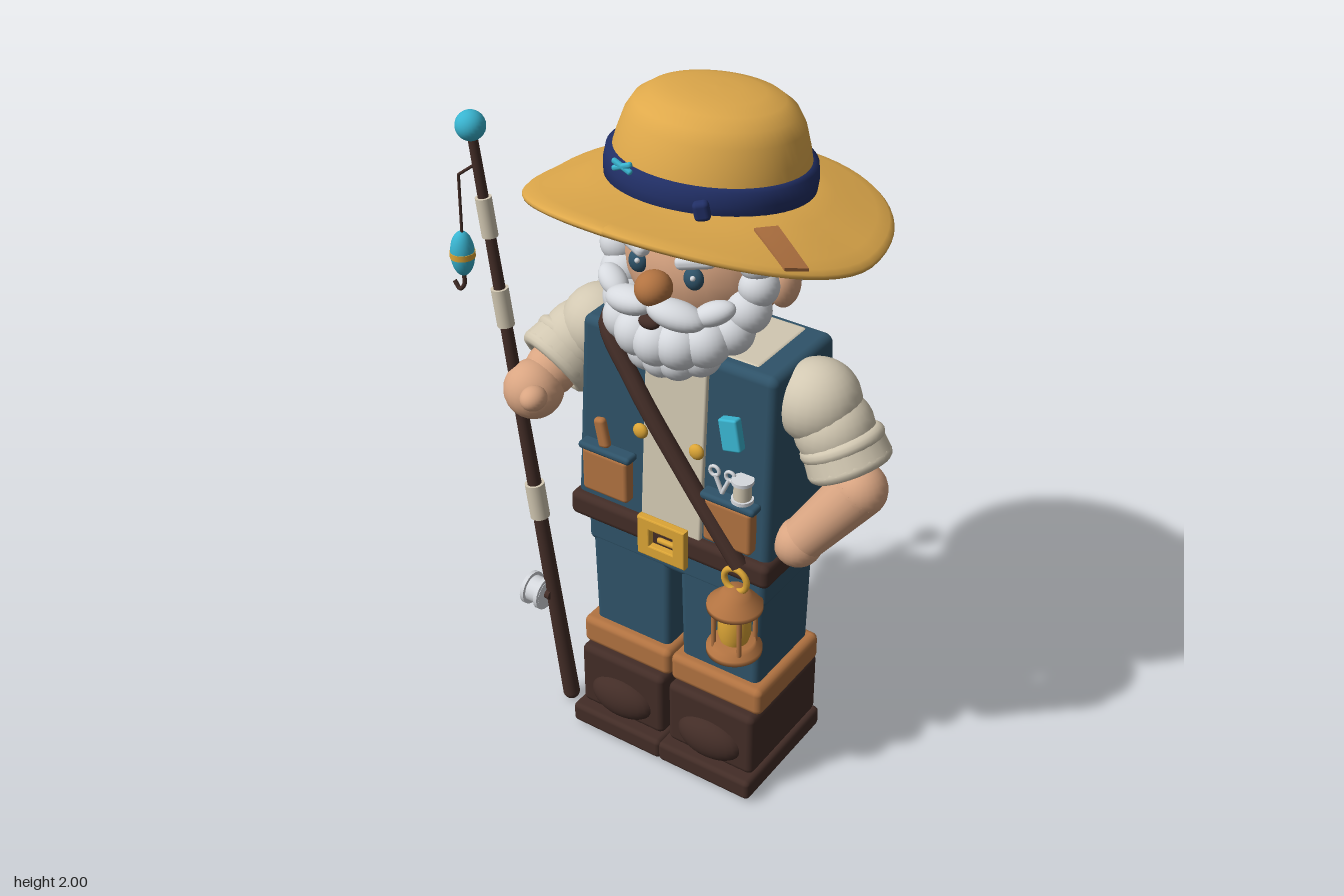
import * as THREE from 'three';
import { RoundedBoxGeometry } from 'three/addons/geometries/RoundedBoxGeometry.js';

const V = (x, y, z) => new THREE.Vector3(x, y, z);

export function createModel() {
  const mat = (name, color) => Object.assign(new THREE.MeshStandardMaterial({ color }), { name });
  const straw = mat('straw', 0xdfa94b), navy = mat('navy', 0x212f66), denim = mat('denim', 0x2f5369);
  const cream = mat('cream', 0xd2c8b2), bark = mat('dark brown', 0x432d27), leather = mat('leather', 0xb27341);
  const skin = mat('skin', 0xd9a582), white = mat('white', 0xd6d9de), gold = mat('gold', 0xdca536), cyan = mat('cyan', 0x39b4d0);

  const root = new THREE.Group();
  root.name = 'fisherman';
  const figure = new THREE.Group();
  figure.name = 'figure';
  figure.position.x = 0.055;
  root.add(figure);

  // Helpers
  const add = (name, geo, m, p = [0, 0, 0], rot = [0, 0, 0], parent = figure) => {
    const mesh = new THREE.Mesh(geo, m);
    mesh.name = name;
    mesh.position.set(...p);
    mesh.rotation.set(...rot);
    parent.add(mesh);
    return mesh;
  };
  const ball = (name, m, p, r, rot, parent) => {
    const mesh = add(name, new THREE.SphereGeometry(1, 24, 16), m, p, rot, parent);
    mesh.scale.set(...(Array.isArray(r) ? r : [r, r, r]));
    return mesh;
  };
  const box = (name, m, p, s, rot, r = 0.012, parent) =>
    add(name, new RoundedBoxGeometry(...s, 2, Math.min(r, Math.min(...s) * 0.45)), m, p, rot, parent);
  // Rounded box whose top is scaled by kx, kz
  const taper = (name, m, p, s, kx, kz, r = 0.02) => {
    const g = new RoundedBoxGeometry(...s, 3, r), a = g.attributes.position;
    for (let i = 0; i < a.count; i++) {
      const t = a.getY(i) / s[1] + 0.5;
      a.setX(i, a.getX(i) * (1 + (kx - 1) * t));
      a.setZ(i, a.getZ(i) * (1 + (kz - 1) * t));
    }
    return add(name, g, m, p);
  };
  // Round bar from a to b
  const bar = (name, m, a, b, ra, rb = ra, parent = figure) => {
    const d = b.clone().sub(a);
    const mesh = add(name, new THREE.CylinderGeometry(rb, ra, d.length(), 20), m, a.clone().add(b).multiplyScalar(0.5).toArray(), [0, 0, 0], parent);
    mesh.quaternion.setFromUnitVectors(V(0, 1, 0), d.normalize());
    return mesh;
  };
  const tube = (name, m, pts, r, parent) =>
    add(name, new THREE.TubeGeometry(new THREE.CatmullRomCurve3(pts), 32, r, 10), m, [0, 0, 0], [0, 0, 0], parent);
  const lathe = pts => new THREE.LatheGeometry(pts.map(([x, y]) => new THREE.Vector2(x, y)), 64);

  // Legs and boots
  box('hips', denim, [0, 0.7, 0.012], [0.58, 0.13, 0.285], undefined, 0.02);
  for (const s of [-1, 1]) {
    taper('leg', denim, [s * 0.147, 0.52, 0.015], [0.25, 0.4, 0.27], 1.06, 1.03);
    box('trouserCuff', leather, [s * 0.151, 0.32, 0.02], [0.3, 0.09, 0.32], undefined, 0.02);
    box('boot', bark, [s * 0.151, 0.175, 0.027], [0.285, 0.21, 0.355], undefined, 0.02);
    box('sole', bark, [s * 0.151, 0.042, 0.042], [0.308, 0.065, 0.395], undefined, 0.015);
    ball('toeCap', bark, [s * 0.151, 0.145, 0.195], [0.105, 0.065, 0.05]);
  }

  // Torso, shirt and belt
  taper('vest', denim, [0, 1.05, -0.005], [0.62, 0.6, 0.36], 0.96, 0.8, 0.025);
  box('shirtTop', cream, [0, 1.335, -0.01], [0.46, 0.035, 0.24]);
  const lean = -0.06;
  box('shirtFront', cream, [0.008, 1.07, 0.158], [0.19, 0.54, 0.02], [lean, 0, 0], 0.006);
  add('neck', new THREE.CylinderGeometry(0.1, 0.11, 0.12, 24), skin, [0, 1.38, -0.02]);
  box('belt', bark, [0, 0.773, 0.01], [0.64, 0.075, 0.37], undefined, 0.02);
  const frame = new THREE.Shape([[-0.072, -0.057], [0.072, -0.057], [0.072, 0.057], [-0.072, 0.057]].map(p => new THREE.Vector2(...p)));
  frame.holes.push(new THREE.Path([[-0.042, -0.03], [-0.042, 0.03], [0.042, 0.03], [0.042, -0.03]].map(p => new THREE.Vector2(...p))));
  add('buckle', new THREE.ExtrudeGeometry(frame, { depth: 0.016, bevelSize: 0.004, bevelThickness: 0.004, bevelSegments: 2 }), gold, [-0.002, 0.776, 0.195]);
  box('bucklePin', gold, [0.012, 0.776, 0.205], [0.06, 0.016, 0.016]);
  tube('strapFront', bark, [V(-0.2, 1.34, -0.02), V(-0.22, 1.36, 0.13), V(-0.11, 1.23, 0.175), V(0.07, 1.0, 0.19), V(0.235, 0.79, 0.195)], 0.024);
  tube('strapBack', bark, [V(-0.2, 1.34, -0.02), V(-0.22, 1.35, -0.15), V(-0.05, 1.14, -0.18), V(0.12, 0.95, -0.185), V(0.27, 0.78, -0.185)], 0.024);
  for (const s of [-1, 1]) ball('button', gold, [0.001 + s * 0.088, 1.085, 0.178], [0.022, 0.022, 0.014]);

  // Pockets and their contents
  for (const [x, y] of [[-0.195, 0.91], [0.195, 0.9]]) {
    box('pocket', leather, [x, y, 0.18], [0.148, 0.135, 0.04]);
    box('pocketFlap', denim, [x, y + 0.073, 0.18], [0.168, 0.022, 0.046]);
  }
  box('knifeHandle', leather, [-0.21, 1.035, 0.18], [0.035, 0.09, 0.025], [0, 0, 0.2]);
  for (const s of [-1, 1]) {
    bar('scissorBlade', white, V(0.17, 0.99, 0.18), V(0.17 + s * 0.022, 1.04, 0.18), 0.006);
    add('scissorLoop', new THREE.TorusGeometry(0.014, 0.005, 8, 16), white, [0.17 + s * 0.024, 1.05, 0.18]);
  }
  bar('spool', cream, V(0.232, 0.985, 0.18), V(0.232, 1.045, 0.18), 0.024);
  for (const y of [0.99, 1.047]) bar('spoolRim', white, V(0.232, y, 0.18), V(0.232, y + 0.01, 0.18), 0.03);
  box('chestPatch', cyan, [0.195, 1.18, 0.178], [0.055, 0.09, 0.03], [lean, 0, 0.22], 0.006);

  // Sleeves, arms and hands
  const arm = (shoulder, mid, cuffA, cuffB, elbow, hand, rHand) => {
    ball('shoulder', cream, shoulder.toArray(), 0.113);
    ball('sleeve', cream, mid.toArray(), 0.106);
    bar('sleeveCuff', cream, cuffA, cuffB, 0.108, 0.114);
    const d = cuffB.clone().sub(cuffA).normalize();
    for (const c of [cuffA, cuffB]) {
      const ring = add('cuffRoll', new THREE.TorusGeometry(0.092, 0.022, 12, 32), cream, c.toArray());
      ring.quaternion.setFromUnitVectors(V(0, 0, 1), d);
    }
    ball('elbow', skin, elbow.toArray(), 0.074);
    bar('forearm', skin, elbow, hand, 0.074, 0.06);
    ball('hand', skin, hand.toArray(), rHand);
  };
  arm(V(0.345, 1.245, 0.01), V(0.395, 1.18, 0.01), V(0.42, 1.145, 0.01), V(0.447, 1.098, 0.015), V(0.485, 1.035, 0.025), V(0.35, 0.85, 0.09), 0.066);
  arm(V(-0.335, 1.245, 0.0), V(-0.39, 1.195, 0.025), V(-0.415, 1.165, 0.04), V(-0.43, 1.135, 0.085), V(-0.437, 1.115, 0.1), V(-0.45, 1.08, 0.165), 0.083);
  ball('thumb', skin, [-0.395, 1.105, 0.235], [0.036, 0.034, 0.04]);

  // Head and face
  ball('head', skin, [0, 1.57, -0.01], [0.22, 0.215, 0.205]);
  ball('nose', leather, [0, 1.565, 0.235], [0.047, 0.045, 0.05]);
  ball('mouth', bark, [0, 1.48, 0.255], [0.03, 0.018, 0.02]);
  for (const s of [-1, 1]) {
    ball('ear', skin, [s * 0.235, 1.55, 0.01], [0.04, 0.066, 0.048]);
    ball('eye', denim, [s * 0.082, 1.592, 0.182], [0.027, 0.03, 0.02]);
    ball('eyeGlint', white, [s * 0.082 + 0.009, 1.603, 0.2], 0.007);
    box('eyebrow', white, [s * 0.092, 1.645, 0.188], [0.105, 0.036, 0.04], [0, s * 0.3, s * 0.2], 0.016);
    ball('moustache', white, [s * 0.068, 1.513, 0.238], [0.078, 0.036, 0.045], [0, s * 0.2, s * -0.15]);
    ball('moustacheTip', white, [s * 0.15, 1.523, 0.195], [0.056, 0.03, 0.035], [0, s * 0.5, s * 0.35]);
    // x, y, z, radius of each curl on one side
    for (const [x, y, z, r] of [[0.2, 1.63, 0.08, 0.05], [0.208, 1.565, 0.085, 0.052], [0.188, 1.5, 0.1, 0.06],
      [0.16, 1.445, 0.13, 0.06], [0.118, 1.425, 0.18, 0.065], [0.06, 1.415, 0.21, 0.066], [0.095, 1.375, 0.17, 0.056], [0.045, 1.36, 0.195, 0.056]])
      ball('beardCurl', white, [s * x, y, z], r);
  }
  ball('beardCurl', white, [0, 1.41, 0.22], 0.065);
  ball('beardCurl', white, [0, 1.355, 0.2], 0.055);
  for (let i = -3; i <= 3; i++) {
    const a = i * 0.52;
    ball('hairCurl', white, [Math.sin(a) * 0.178, 1.555 + (i % 2) * (i % 2) * 0.012, -0.055 - Math.cos(a) * 0.125], 0.078 + 0.012 * Math.cos(a));
  }

  // Hat brim: slopes down from the crown and lifts at the front
  const brimY = (x, z) => {
    const r = Math.hypot(x / 1.06, z) || 1e-6, u = z / r;
    const t = THREE.MathUtils.clamp((r - 0.24) / 0.2, 0, 1);
    const inner = 1.755 + 0.025 * u, rim = 1.662 + 0.14 * Math.max(0, u) ** 1.5;
    return inner + (rim - inner) * t ** 1.1;
  };
  const drape = g => {
    const a = g.attributes.position;
    for (let i = 0; i < a.count; i++) a.setY(i, a.getY(i) + brimY(a.getX(i), a.getZ(i)));
    g.computeVertexNormals();
    return g;
  };
  const radii = [0.16, 0.24, 0.3, 0.35, 0.4, 0.43];
  const brim = lathe([...radii.map(r => [r, -0.013]), [0.44, -0.006], [0.442, 0], [0.44, 0.006], ...radii.map(r => [r, 0.013]).reverse()]);
  add('hatBrim', drape(brim.scale(1.06, 1, 1)), straw, [0, 0, -0.003]);
  const patch = new THREE.BoxGeometry(0.145, 0.008, 0.065, 8, 1, 4);
  add('hatPatch', drape(patch.rotateY(-0.5).translate(0.33, 0.016, 0.19)), leather);

  // Hat crown and band
  const crown = new THREE.Group();
  crown.name = 'hatCrown';
  crown.position.set(0, 1.755, -0.012);
  crown.rotation.set(-0.09, 0, -0.025);
  crown.scale.z = 0.95;
  figure.add(crown);
  add('crown', lathe([[0.262, -0.02], [0.257, 0.05], [0.243, 0.11], [0.226, 0.165], [0.205, 0.2], [0.17, 0.224], [0.12, 0.237], [0.06, 0.242], [0, 0.243]]), straw, undefined, undefined, crown);
  add('hatBand', lathe([[0.255, 0.0], [0.268, 0.006], [0.271, 0.04], [0.266, 0.074], [0.25, 0.08]]), navy, undefined, undefined, crown);
  box('bandKnot', navy, [0.137, 1.812, 0.232], [0.04, 0.05, 0.03], [0, 0.5, 0.2], 0.012);
  for (const s of [-1, 1]) box('hatFly', cyan, [-0.08, 1.872, 0.245], [0.06, 0.014, 0.014], [0, 0, s * 0.4], 0.006);

  // Lantern on the belt
  const lantern = new THREE.Group();
  lantern.name = 'lantern';
  lantern.position.set(0.232, 0, 0.207);
  figure.add(lantern);
  add('ring', new THREE.TorusGeometry(0.035, 0.009, 10, 24), gold, [0, 0.75, 0], undefined, lantern);
  add('roof', lathe([[0, 0.66], [0.076, 0.66], [0.076, 0.674], [0.045, 0.7], [0.032, 0.72], [0, 0.725]]), leather, undefined, undefined, lantern);
  add('glass', lathe([[0.035, 0.54], [0.045, 0.575], [0.045, 0.63], [0.035, 0.665]]), gold, undefined, undefined, lantern);
  add('base', lathe([[0, 0.515], [0.076, 0.515], [0.076, 0.53], [0.06, 0.538], [0.056, 0.552], [0, 0.552]]), leather, undefined, undefined, lantern);
  for (let i = 0; i < 4; i++) {
    const a = Math.PI / 4 + i * Math.PI / 2, x = Math.cos(a) * 0.057, z = Math.sin(a) * 0.057;
    bar('post', leather, V(x, 0.535, z), V(x, 0.665, z), 0.007, 0.007, lantern);
  }

  // Fishing rod
  const rod = new THREE.Group();
  rod.name = 'fishingRod';
  root.add(rod);
  const foot = V(-0.322, 0.025, 0.152), tip = V(-0.53, 1.83, 0.195);
  const at = y => foot.clone().lerp(tip, (y - foot.y) / (tip.y - foot.y));
  bar('pole', bark, foot, tip, 0.025, 0.013, rod);
  ball('poleEnd', bark, foot.toArray(), 0.025, undefined, rod);
  ball('tipBall', cyan, tip.toArray(), 0.04, undefined, rod);
  for (const [y, r] of [[0.71, 0.028], [1.32, 0.024], [1.58, 0.022]]) bar('wrap', cream, at(y - 0.055), at(y + 0.055), r, r, rod);
  bar('reel', white, V(-0.43, 0.39, 0.18), V(-0.375, 0.39, 0.18), 0.04, 0.04, rod);
  for (const x of [-0.436, -0.388]) bar('reelRim', white, V(x, 0.39, 0.18), V(x + 0.012, 0.39, 0.18), 0.05, 0.05, rod);
  bar('reelHub', bark, V(-0.44, 0.39, 0.18), V(-0.36, 0.39, 0.18), 0.014, 0.014, rod);
  bar('line', bark, V(-0.516, 1.73, 0.193), V(-0.582, 1.68, 0.195), 0.004, 0.004, rod);
  bar('line', bark, V(-0.582, 1.68, 0.195), V(-0.588, 1.36, 0.195), 0.004, 0.004, rod);
  ball('float', cyan, [-0.588, 1.45, 0.195], [0.033, 0.065, 0.033], undefined, rod);
  bar('floatBand', gold, V(-0.588, 1.44, 0.195), V(-0.588, 1.457, 0.195), 0.0345, 0.0345, rod);
  tube('hook', bark, [V(-0.588, 1.39, 0.195), V(-0.59, 1.355, 0.195), V(-0.607, 1.338, 0.195), V(-0.623, 1.358, 0.195)], 0.006, rod);
  return root;
}
